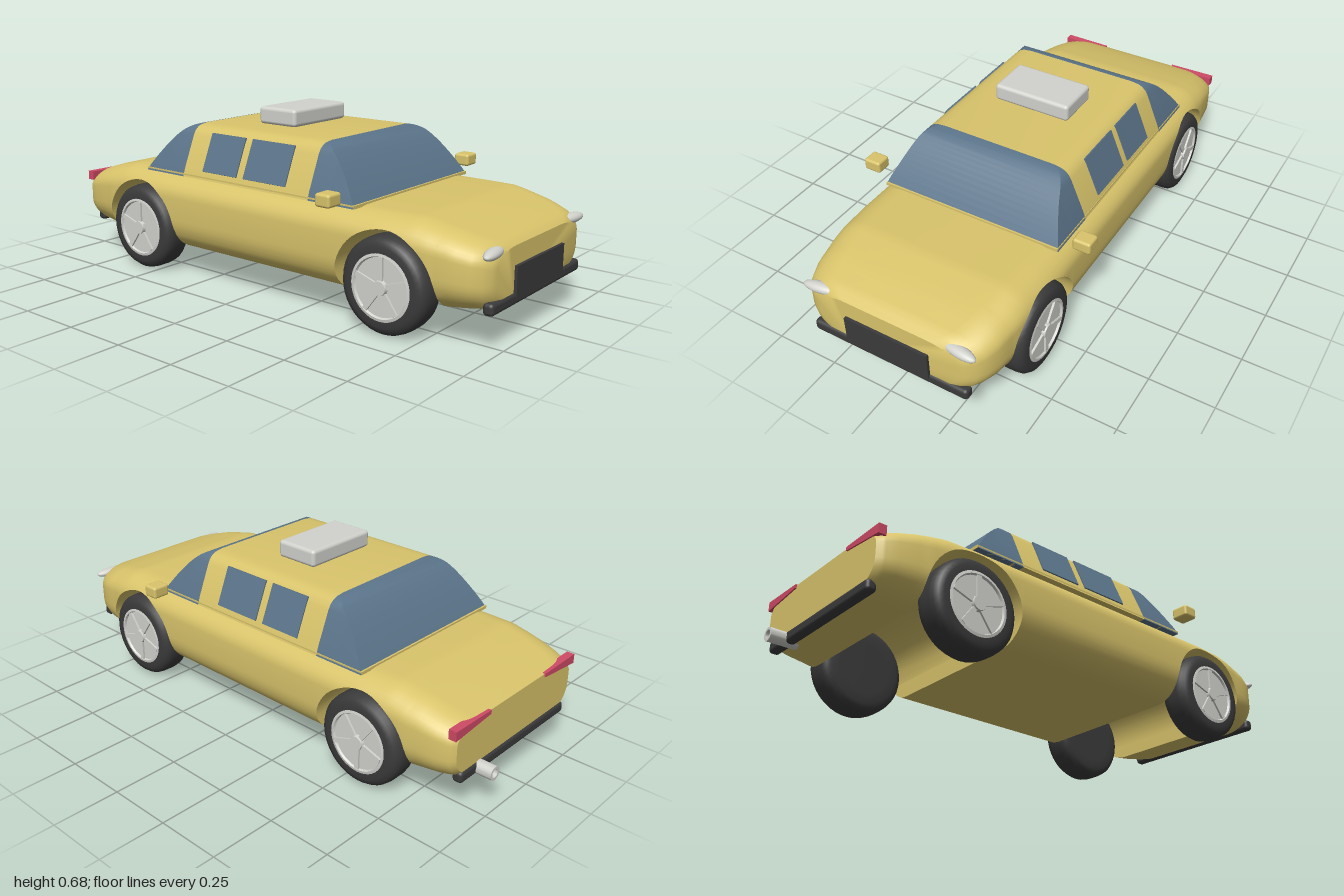
import * as THREE from 'three';
import { toCreasedNormals } from 'three/addons/utils/BufferGeometryUtils.js';
import { RoundedBoxGeometry } from 'three/addons/geometries/RoundedBoxGeometry.js';

const mat = (name, color) => {
  const m = new THREE.MeshStandardMaterial({ color });
  m.name = name;
  return m;
};

// piecewise linear curve through [x, value] points
function along(points, x) {
  for (let i = 1; i < points.length; i++) {
    const [x0, y0] = points[i - 1], [x1, y1] = points[i];
    if (x <= x1) return y0 + (y1 - y0) * Math.max(0, (x - x0) / (x1 - x0));
  }
  return points[points.length - 1][1];
}

// skin over closed rings ordered by growing x, with capped ends
function loft(rings, crease = 0.55) {
  const pos = [];
  const tri = (a, b, c) => {
    const n = b.clone().sub(a).cross(c.clone().sub(a));
    if (n.length() > 1e-9) for (const p of [a, b, c]) pos.push(p.x, p.y, p.z);
  };
  const n = rings[0].length, last = rings[rings.length - 1];
  for (let i = 1; i < rings.length; i++) {
    const a = rings[i - 1], b = rings[i];
    for (let j = 0; j < n; j++) {
      const k = (j + 1) % n;
      tri(a[j], b[j], b[k]);
      tri(a[j], b[k], a[k]);
    }
  }
  for (let j = 1; j < n - 1; j++) {
    tri(rings[0][0], rings[0][j], rings[0][j + 1]);
    tri(last[0], last[j + 1], last[j]);
  }
  const g = new THREE.BufferGeometry();
  g.setAttribute('position', new THREE.Float32BufferAttribute(pos, 3));
  return toCreasedNormals(g, crease);
}

// symmetrical ring: heights ys from low to high, half width from w(y)
function ring(x, ys, w) {
  const half = ys.map((y) => new THREE.Vector3(x, y, w(y)));
  return [...half, ...half.map((p) => new THREE.Vector3(x, p.y, -p.z)).reverse()];
}

const AXLES = [-0.57, 0.62], AXLE_Y = 0.173, ARCH = 0.196;
const TOP = [[-0.935, 0.345], [-0.9, 0.36], [-0.8, 0.39], [-0.68, 0.415], [0.72, 0.415], [0.85, 0.388], [0.96, 0.356], [0.985, 0.335]];
const BOTTOM = [[-0.935, 0.15], [-0.91, 0.138], [-0.7, 0.115], [-0.4, 0.11], [0.5, 0.11], [0.8, 0.12], [0.96, 0.135], [0.985, 0.15]];
const WIDTH = [[-0.935, 0.345], [-0.92, 0.362], [-0.87, 0.38], [-0.75, 0.395], [-0.55, 0.405], [0.6, 0.405], [0.77, 0.395], [0.88, 0.378], [0.93, 0.36], [0.96, 0.338], [0.978, 0.31], [0.985, 0.285]];

function bodyRing(x, lower) {
  const top = along(TOP, x), bottom = along(BOTTOM, x), W = along(WIDTH, x);
  const s = Math.min(1, (top - bottom) / 0.3), rt = 0.09 * s, rb = 0.13 * s, rz = 0.12;
  const w = (y) => {
    const t = Math.min(1, Math.max((y - top + rt) / rt, (bottom + rb - y) / rb, 0));
    return W - rz * (1 - Math.sqrt(1 - t * t));
  };
  const ys = [];
  for (let i = 0; i <= 9; i++) ys.push(bottom + rb * (1 - Math.cos(i * Math.PI / 18)));
  for (let i = 0; i <= 9; i++) ys.push(top - rt + rt * Math.sin(i * Math.PI / 18));
  return ring(x, ys.map((y) => Math.max(y, lower)), w);
}

function bodyGeometry() {
  const stations = [...TOP, ...BOTTOM, ...WIDTH].map((p) => [p[0], 0])
    .filter(([x]) => AXLES.every((c) => Math.abs(x - c) > ARCH + 0.005));
  // wheel arches run right through the body
  for (const c of AXLES) {
    stations.push([c - ARCH - 1e-7, 0], [c + ARCH + 1e-7, 0]);
    for (let i = 0; i <= 24; i++) {
      const a = i * Math.PI / 24;
      stations.push([c - ARCH * Math.cos(a), AXLE_Y + ARCH * Math.sin(a)]);
    }
  }
  stations.sort((a, b) => a[0] - b[0]);
  const unique = stations.filter((s, i) => i === 0 || s[0] > stations[i - 1][0]);
  return loft(unique.map(([x, low]) => bodyRing(x, low)));
}

// cabin section, cut off at the height of the roof or sloping glass
const BASE = 0.41;
const CABIN = [[BASE, 0.368], [0.44, 0.358], [0.565, 0.305], [0.582, 0.295], [0.595, 0.28], [0.602, 0.262], [0.606, 0.23]];
const cabinRing = (x, top) => ring(x, CABIN.map((p) => Math.min(p[0], top)), (y) => along(CABIN, y));

function slopedGlass(x0, x1) {
  const rings = [];
  for (let i = 0; i <= 14; i++) {
    const t = i / 14;
    rings.push(cabinRing(x0 + (x1 - x0) * t, 0.415 + 0.191 * (1 - t ** 1.65)));
  }
  return loft(x1 > x0 ? rings : rings.reverse());
}

export function createModel() {
  const yellow = mat('yellow paint', 0xd9c46b);
  const glass = mat('blue glass', 0x5b748a);
  const black = mat('black rubber', 0x3b3b3b);
  const silver = mat('light grey', 0xd2d2cd);
  const red = mat('red lens', 0xcf4a66);
  const car = new THREE.Group();
  car.name = 'car';
  const add = (name, geo, material, x = 0, y = 0, z = 0, parent = car) => {
    const m = new THREE.Mesh(geo, material);
    m.name = name;
    m.position.set(x, y, z);
    parent.add(m);
    return m;
  };

  add('body', bodyGeometry(), yellow);
  add('cabin', loft([cabinRing(-0.345, 0.606), cabinRing(0.28, 0.606)]), yellow);
  add('windshield', slopedGlass(0.28, 0.48), glass);
  add('rearWindow', slopedGlass(-0.345, -0.55), glass);
  add('cabinSill', new THREE.BoxGeometry(1.035, 0.012, 0.732), yellow, -0.035, 0.416, 0);
  add('roofSign', new RoundedBoxGeometry(0.18, 0.067, 0.314, 3, 0.014), silver, -0.045, 0.647, 0);

  // wheel turned about its axis, outer side facing +y before tilting
  const tireProfile = [[0.1, -0.062], [0.14, -0.062], [0.158, -0.055], [0.169, -0.04], [0.172, -0.02], [0.172, 0.02],
    [0.169, 0.04], [0.158, 0.055], [0.14, 0.062], [0.118, 0.062], [0.112, 0.045]].map((p) => new THREE.Vector2(...p));
  const tireGeo = toCreasedNormals(new THREE.LatheGeometry(tireProfile, 40), 0.7);
  const hubProfile = [[0.118, 0.03], [0.118, 0.062], [0.108, 0.064], [0.104, 0.056], [0, 0.056]].map((p) => new THREE.Vector2(...p));
  const hubGeo = toCreasedNormals(new THREE.LatheGeometry(hubProfile, 40), 0.5);

  for (const side of [1, -1]) {
    for (const x of AXLES) {
      const wheel = new THREE.Group();
      wheel.name = 'wheel';
      wheel.position.set(x, 0.173, side * 0.343);
      wheel.rotation.x = side * Math.PI / 2;
      car.add(wheel);
      add('tire', tireGeo, black, 0, 0, 0, wheel);
      add('innerDisc', new THREE.CylinderGeometry(0.115, 0.115, 0.07, 32), black, 0, -0.02, 0, wheel);
      add('rim', hubGeo, silver, 0, 0, 0, wheel);
      add('hubCap', new THREE.CylinderGeometry(0.025, 0.028, 0.014, 20), silver, 0, 0.063, 0, wheel);
      for (let i = 0; i < 5; i++) {
        const a = i * Math.PI * 0.4 + Math.PI / 2;
        const spoke = add('spoke', new THREE.BoxGeometry(0.085, 0.008, 0.018), silver, Math.cos(a) * 0.063, 0.06, -Math.sin(a) * 0.063, wheel);
        spoke.rotation.y = a;
      }
    }

    // side windows lie on the sloping cabin wall
    for (const [x0, x1] of [[-0.245, -0.07], [-0.035, 0.17]]) {
      const win = add('sideWindow', new THREE.BoxGeometry(x1 - x0, 0.154, 0.008), glass, (x0 + x1) / 2, 0.511, side * 0.3285);
      win.rotation.x = -side * Math.atan2(0.053, 0.125);
    }
    add('mirror', new RoundedBoxGeometry(0.063, 0.047, 0.07, 3, 0.01), yellow, 0.432, 0.453, side * 0.445);
    const lamp = add('headlight', new THREE.SphereGeometry(1, 24, 16), silver, 0.965, 0.33, side * 0.28);
    lamp.scale.set(0.024, 0.019, 0.072);
    lamp.rotation.y = side * 0.15;

    // tail light, thinner toward the middle
    const tail = new THREE.BoxGeometry(0.03, 0.036, 0.195);
    const p = tail.attributes.position;
    for (let i = 0; i < p.count; i++) if (p.getZ(i) * side < 0) p.setY(i, p.getY(i) * 0.4 + 0.008);
    tail.computeVertexNormals();
    add('tailLight', tail, red, -0.925, 0.333, side * 0.265);
  }

  // bumpers, number plate and exhaust
  add('frontBumper', new RoundedBoxGeometry(0.04, 0.044, 0.64, 3, 0.014), black, 0.972, 0.153, 0);
  add('rearBumper', new RoundedBoxGeometry(0.04, 0.044, 0.64, 3, 0.014), black, -0.922, 0.153, 0);
  add('frontPlate', new THREE.BoxGeometry(0.016, 0.106, 0.342), black, 0.988, 0.214, 0);
  const pipe = [[0.016, -0.04], [0.016, 0.05], [0.026, 0.05], [0.026, -0.06]].map(([r, y]) => new THREE.Vector2(r, -y));
  const pipeMat = silver.clone();
  pipeMat.name = 'exhaust grey';
  pipeMat.side = THREE.DoubleSide;
  const exhaust = add('exhaust', toCreasedNormals(new THREE.LatheGeometry(pipe, 24), 0.5), pipeMat, -0.95, 0.151, -0.212);
  exhaust.rotation.z = -Math.PI / 2;
  add('exhaustInside', new THREE.CylinderGeometry(0.017, 0.017, 0.05, 20), silver, -0.94, 0.151, -0.212).rotation.z = Math.PI / 2;
  return car;
}
